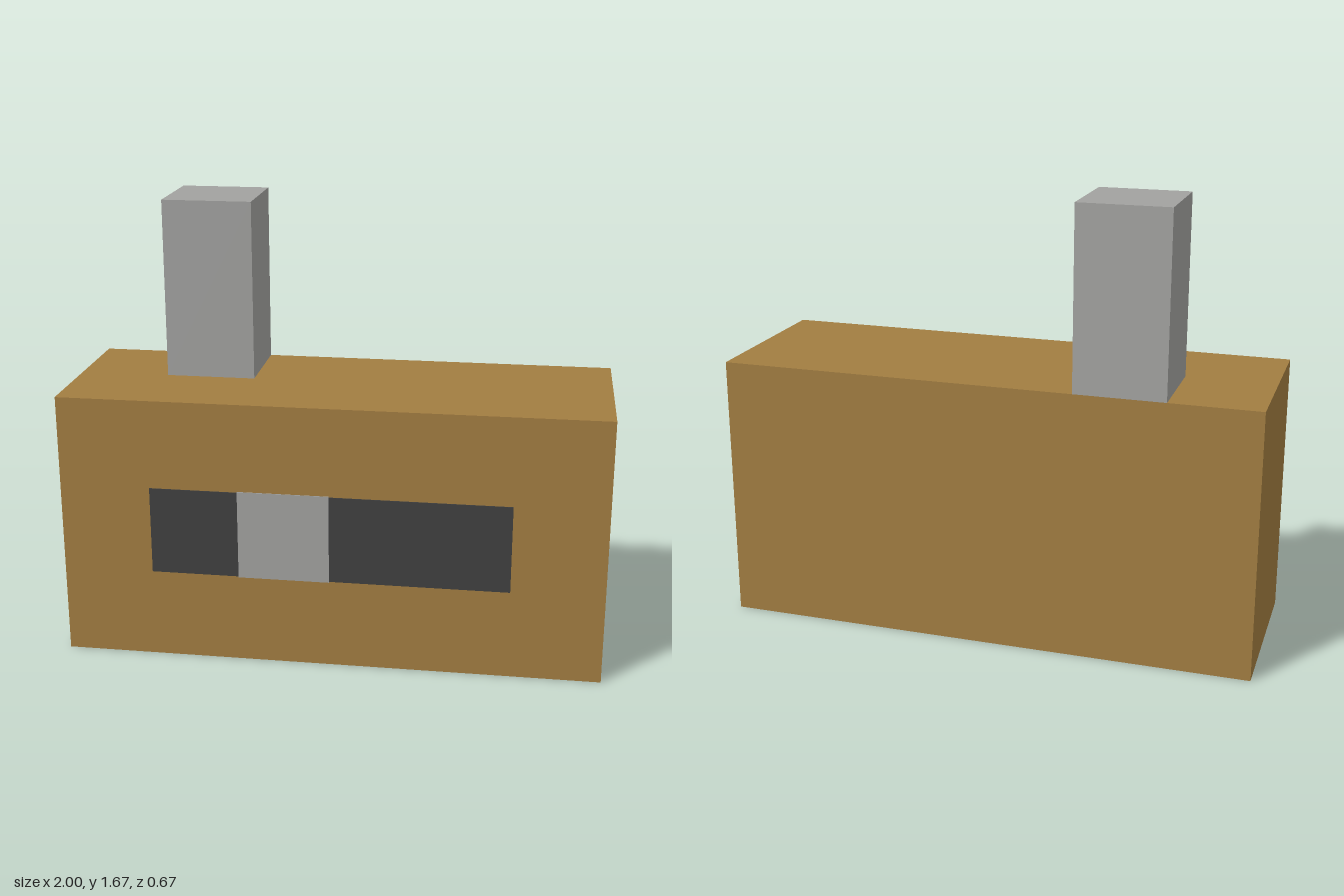
import * as THREE from 'three';

export function createModel() {
  const model = new THREE.Group();
  const material = (name, color) => {
    const m = new THREE.MeshStandardMaterial({ color });
    m.name = name;
    return m;
  };
  const wood = material('wood brown', 0xa27d41);
  const grey = material('light grey', 0xa2a2a0);
  const dark = material('dark grey', 0x404040);

  // Box given by its lower and upper corners
  const addBox = (name, mat, min, max) => {
    const size = max.map((v, i) => v - min[i]);
    const mesh = new THREE.Mesh(new THREE.BoxGeometry(...size), mat);
    mesh.position.set(...max.map((v, i) => (v + min[i]) / 2));
    mesh.name = name;
    model.add(mesh);
  };

  const third = 1 / 3;
  // Main block and the post flush with its back
  addBox('body', wood, [-1, 0, -third], [1, 1, third]);
  addBox('post', grey, [-2 * third, 1, -third], [-third, 5 * third, 0]);

  // Thin front panel: a dark slot on either side of a grey slider
  const front = third + 0.003;
  addBox('slotRight', dark, [-0.663, 0.337, third], [-0.337, 0.667, front]);
  addBox('slider', grey, [-0.337, third, third], [0, 0.67, front]);
  addBox('slotLeft', dark, [0, 0.337, third], [0.66, 0.667, front]);

  return model;
}
